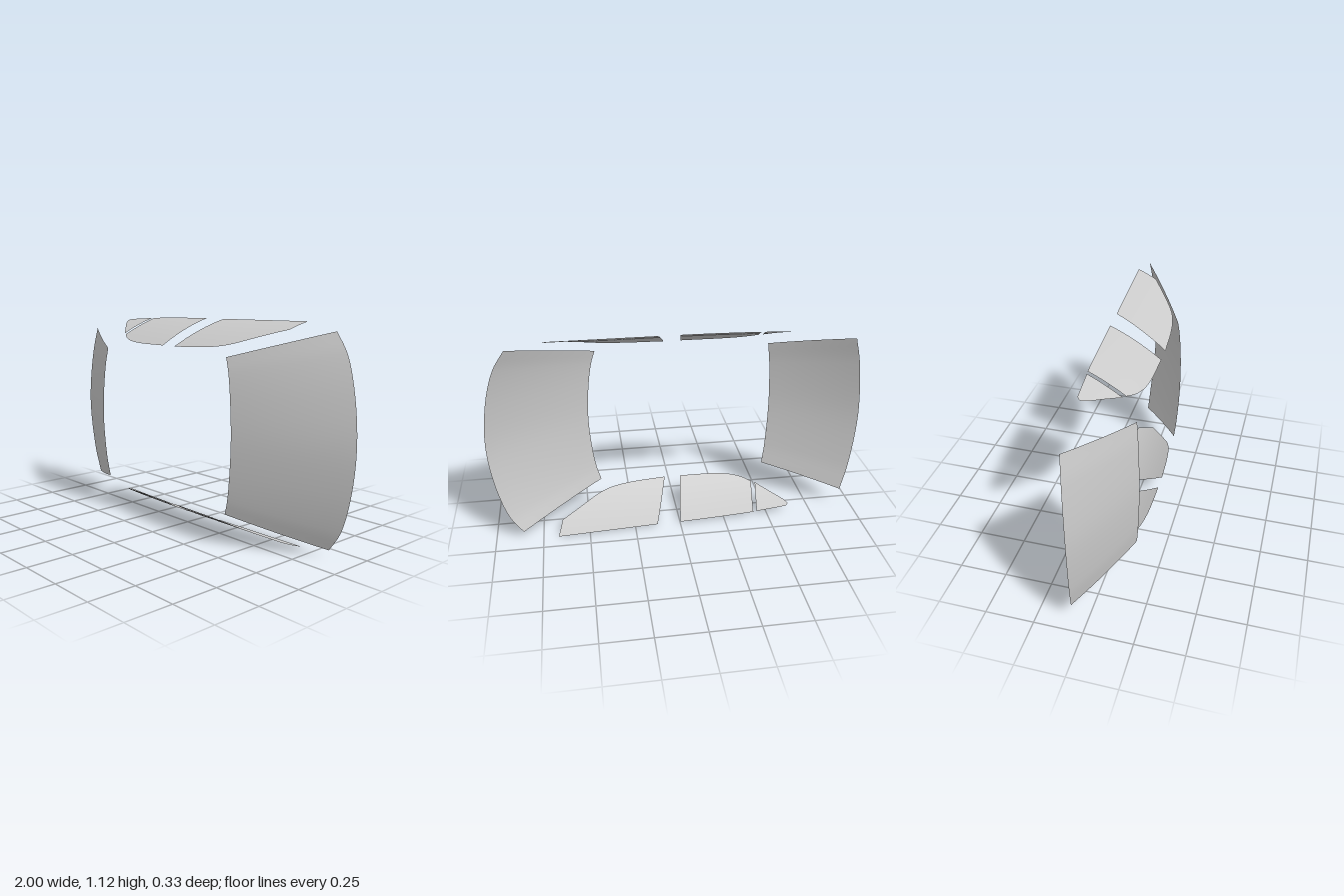
import * as THREE from 'three';

const MID = 0.56; // mirror plane of the cabin, across y
const material = new THREE.MeshStandardMaterial({ color: 0xcccccc, side: THREE.DoubleSide });
const curve = pts => new THREE.CatmullRomCurve3(pts.map(p => new THREE.Vector3(...p)), false, 'centripetal');

// Thin pane stretched between two edge curves; shape(point, v) bends it
function pane(name, from, to, shape, nu = 24, nv = 8) {
  const pos = [], index = [];
  for (let j = 0; j <= nv; j++) {
    for (let i = 0; i <= nu; i++) {
      const p = from.getPoint(i / nu).lerp(to.getPoint(i / nu), j / nv);
      shape(p, j / nv);
      pos.push(p.x, p.y, p.z);
      if (i < nu && j < nv) {
        const a = j * (nu + 1) + i, b = a + nu + 1;
        index.push(a, a + 1, b + 1, a, b + 1, b);
      }
    }
  }
  const geo = new THREE.BufferGeometry();
  geo.setAttribute('position', new THREE.Float32BufferAttribute(pos, 3));
  geo.setIndex(index);
  geo.computeVertexNormals();
  const mesh = new THREE.Mesh(geo, material);
  mesh.name = name;
  return mesh;
}

// Edge running across the cabin, given from its end to the middle and mirrored
function crossEdge(half) {
  const other = half.slice(0, -1).reverse().map(([x, y, z]) => [x, 2 * MID - y, z]);
  return curve([...half, ...other]);
}

// Curved flank that all side glass lies on
const flankY = (x, z) => 1.056 - 0.485 * z - 0.63 * z * z - (x < 0 ? 0.04 * x * x : 0);

export function createModel() {
  const group = new THREE.Group();
  const bow = (p, v) => { p.z += 0.032 * v * (1 - v); };

  // Windscreen
  const screenRoof = crossEdge([[0.415, 0.95, 0.124], [0.437, 0.876, 0.13], [0.458, 0.736, 0.137], [0.468, MID, 0.14]]);
  const screenBase = crossEdge([[0.853, 1.082, -0.147], [0.917, 0.981, -0.148], [0.972, 0.794, -0.14], [0.997, MID, -0.134]]);
  group.add(pane('windscreen', screenRoof, screenBase, bow));

  // Rear window
  const rearRoof = crossEdge([[-0.522, 0.933, 0.14], [-0.538, 0.812, 0.151], [-0.55, MID, 0.16]]);
  const rearBase = crossEdge([[-0.933, 1.019, -0.077], [-0.97, 0.87, -0.066], [-1, MID, -0.056]]);
  group.add(pane('rearWindow', rearBase, rearRoof, bow));

  // Side glass: roof edge and belt edge as (x, z), on both flanks
  const sideGlass = [
    ['FrontDoorGlass',
      [[0.05, 0.137], [0.243, 0.124], [0.35, 0.107], [0.42, 0.083], [0.51, 0.03], [0.645, -0.06]],
      [[0.127, -0.14], [0.67, -0.166]]],
    ['RearDoorGlass',
      [[-0.447, 0.07], [-0.4, 0.098], [-0.335, 0.12], [-0.24, 0.133], [-0.04, 0.137]],
      [[-0.42, -0.12], [0, -0.137]]],
    ['QuarterGlass',
      [[-0.628, -0.09], [-0.612, -0.065], [-0.54, 0], [-0.468, 0.06]],
      [[-0.612, -0.105], [-0.44, -0.117]]],
  ];
  for (const [name, roofPts, beltPts] of sideGlass) {
    const roof = curve(roofPts.map(([x, z]) => [x, 0, z]));
    const belt = curve(beltPts.map(([x, z]) => [x, 0, z]));
    group.add(pane('upper' + name, roof, belt, p => { p.y = flankY(p.x, p.z); }));
    group.add(pane('lower' + name, belt, roof, p => { p.y = 2 * MID - flankY(p.x, p.z); }));
  }
  return group;
}
